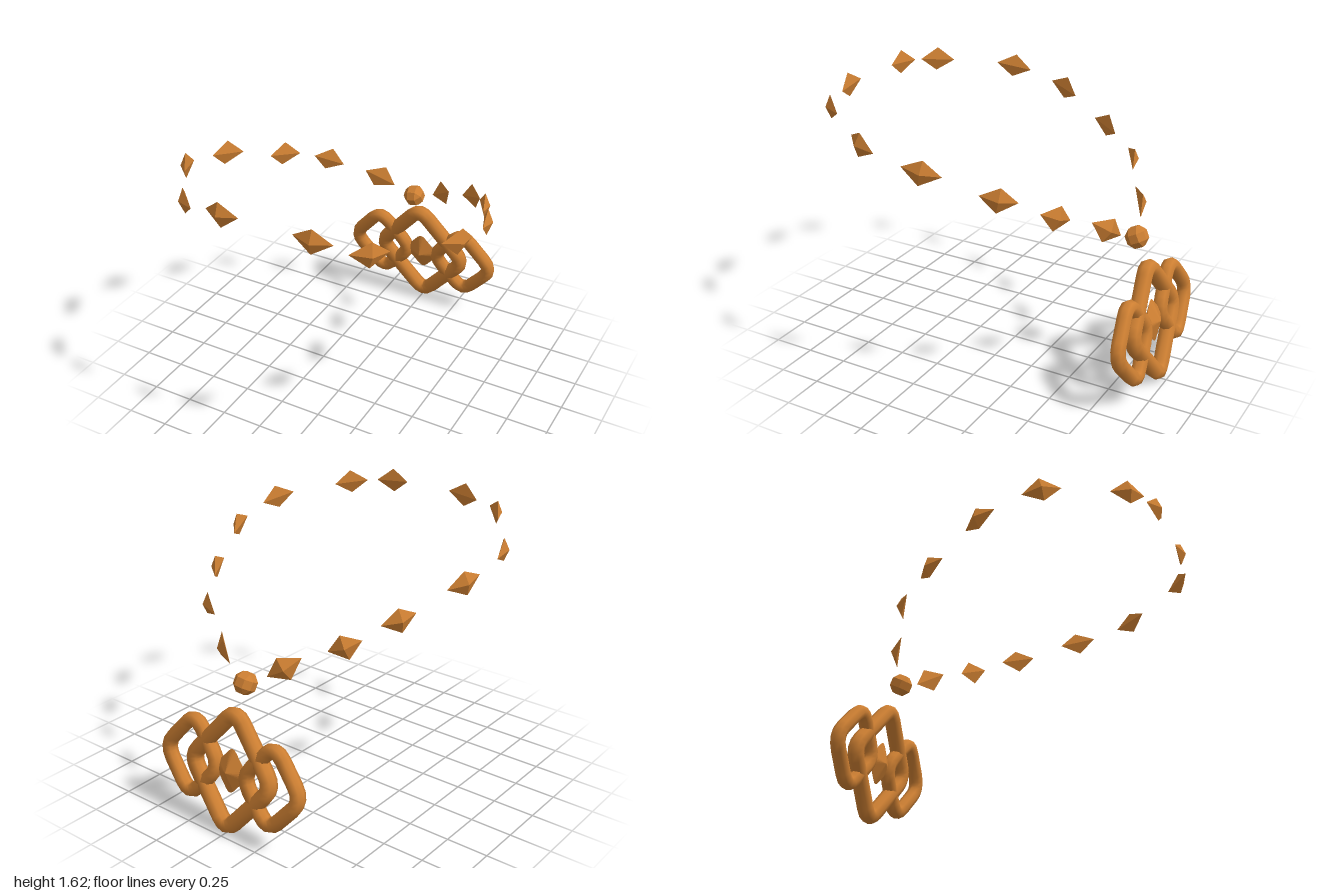
import * as THREE from 'three';
import { ConvexGeometry } from 'three/addons/geometries/ConvexGeometry.js';

const bronze = new THREE.MeshStandardMaterial({ color: 0xcd7f32 });
bronze.name = 'bronze';

// Rounded diamond outline (counter-clockwise): points with their outward normals.
function diamondOutline(a, b, round, steps = 4) {
  const corners = [[a, 0], [0, b], [-a, 0], [0, -b]].map(([x, y]) => new THREE.Vector2(x, y));
  const outline = [];
  corners.forEach((corner, i) => {
    const start = corner.clone().lerp(corners[(i + 3) % 4], round);
    const end = corner.clone().lerp(corners[(i + 1) % 4], round);
    const bend = new THREE.QuadraticBezierCurve(start, corner, end);
    for (let k = 0; k <= steps; k++) {
      const t = bend.getTangent(k / steps);
      outline.push({ p: bend.getPoint(k / steps), n: new THREE.Vector2(t.y, -t.x) });
    }
  });
  return outline;
}

// Round tube swept along a rounded diamond.
function diamondRing(a, b, round, radius, sides = 8) {
  const outline = diamondOutline(a, b, round);
  const count = outline.length;
  const positions = [], index = [];
  outline.forEach(({ p, n }, i) => {
    for (let j = 0; j < sides; j++) {
      const angle = (j / sides) * Math.PI * 2;
      const out = radius * Math.cos(angle);
      positions.push(p.x + n.x * out, p.y + n.y * out, radius * Math.sin(angle));
      const i2 = ((i + 1) % count) * sides, j2 = (j + 1) % sides, i1 = i * sides;
      index.push(i1 + j, i2 + j, i1 + j2, i2 + j, i2 + j2, i1 + j2);
    }
  });
  const geometry = new THREE.BufferGeometry();
  geometry.setAttribute('position', new THREE.Float32BufferAttribute(positions, 3));
  geometry.setIndex(index);
  geometry.computeVertexNormals();
  return geometry;
}

// Faceted bead between two tips, with its peak facing out of the loop.
function beadGeometry(tipA, tipB) {
  const mid = tipA.clone().lerp(tipB, 0.5);
  const along = tipB.clone().sub(tipA).normalize();
  const up = new THREE.Vector3(0, 1, 0).addScaledVector(along, -along.y).normalize();
  const out = new THREE.Vector3().crossVectors(along, up).normalize();
  if (out.x * mid.x + out.z * mid.z < 0) out.negate();
  const at = (u, o) => mid.clone().addScaledVector(up, u).addScaledVector(out, o);
  return new ConvexGeometry([tipA, tipB, at(0.073, 0.02), at(-0.073, 0.02), at(0, 0.05)]);
}

// Tips of the beads on the left half of the loop, front to back.
const BEAD_TIPS = [
  [[0.155, 1.56, 0.952], [0.37, 1.545, 0.926]],
  [[0.455, 1.525, 0.937], [0.603, 1.505, 0.785]],
  [[0.77, 1.476, 0.565], [0.852, 1.433, 0.365]],
  [[0.841, 1.39, 0.205], [0.767, 1.342, 0.0]],
  [[0.693, 1.25, -0.172], [0.596, 1.21, -0.355]],
  [[0.556, 1.153, -0.46], [0.405, 1.084, -0.56]],
  [[0.287, 1.038, -0.63], [0.133, 0.923, -0.735]],
];

export function createModel() {
  const model = new THREE.Group();
  model.name = 'necklace';
  const add = (parent, name, geometry) => {
    const mesh = new THREE.Mesh(geometry, bronze);
    mesh.name = name;
    parent.add(mesh);
    return mesh;
  };

  // Loop of beads, mirrored left and right
  const loop = new THREE.Group();
  loop.name = 'beadLoop';
  model.add(loop);
  for (const [side, s] of [['left', 1], ['right', -1]]) {
    BEAD_TIPS.forEach((tips, i) => {
      const [a, b] = tips.map(([x, y, z]) => new THREE.Vector3(s * x, y, z));
      add(loop, `${side}Bead${i + 1}`, beadGeometry(a, b));
    });
  }

  // Faceted ball between the loop and the pendant
  const ballPoints = [];
  for (const x of [-1, 1]) for (const y of [-1, 1]) for (const z of [-1, 1]) {
    for (let k = 0; k < 3; k++) {
      const v = [x, y, z];
      v[k] *= 2.414;
      ballPoints.push(new THREE.Vector3(...v).multiplyScalar(0.0245));
    }
  }
  const ball = add(model, 'connectorBall', new ConvexGeometry(ballPoints));
  ball.position.set(-0.01, 0.863, -0.77);
  ball.rotation.set(0.45, 0.12, 0.1);

  // Pendant: interlocked diamond rings around a gem, leaning back at the foot
  const pendant = new THREE.Group();
  pendant.name = 'pendant';
  pendant.position.set(0, 0.374, -0.897);
  pendant.rotation.x = 0.157;
  model.add(pendant);
  add(pendant, 'largeRing', diamondRing(0.301, 0.355, 0.18, 0.049));
  for (const [side, s] of [['left', 1], ['right', -1]]) {
    add(pendant, `${side}SmallRing`, diamondRing(0.211, 0.247, 0.28, 0.044)).position.x = s * 0.294;
  }

  // Central gem, pointed front and back
  const gemPoints = diamondOutline(0.125, 0.145, 0.22).map(({ p }) => new THREE.Vector3(p.x, p.y, 0));
  gemPoints.push(new THREE.Vector3(0, 0, 0.05), new THREE.Vector3(0, 0, -0.05));
  add(pendant, 'gem', new ConvexGeometry(gemPoints));

  return model;
}
